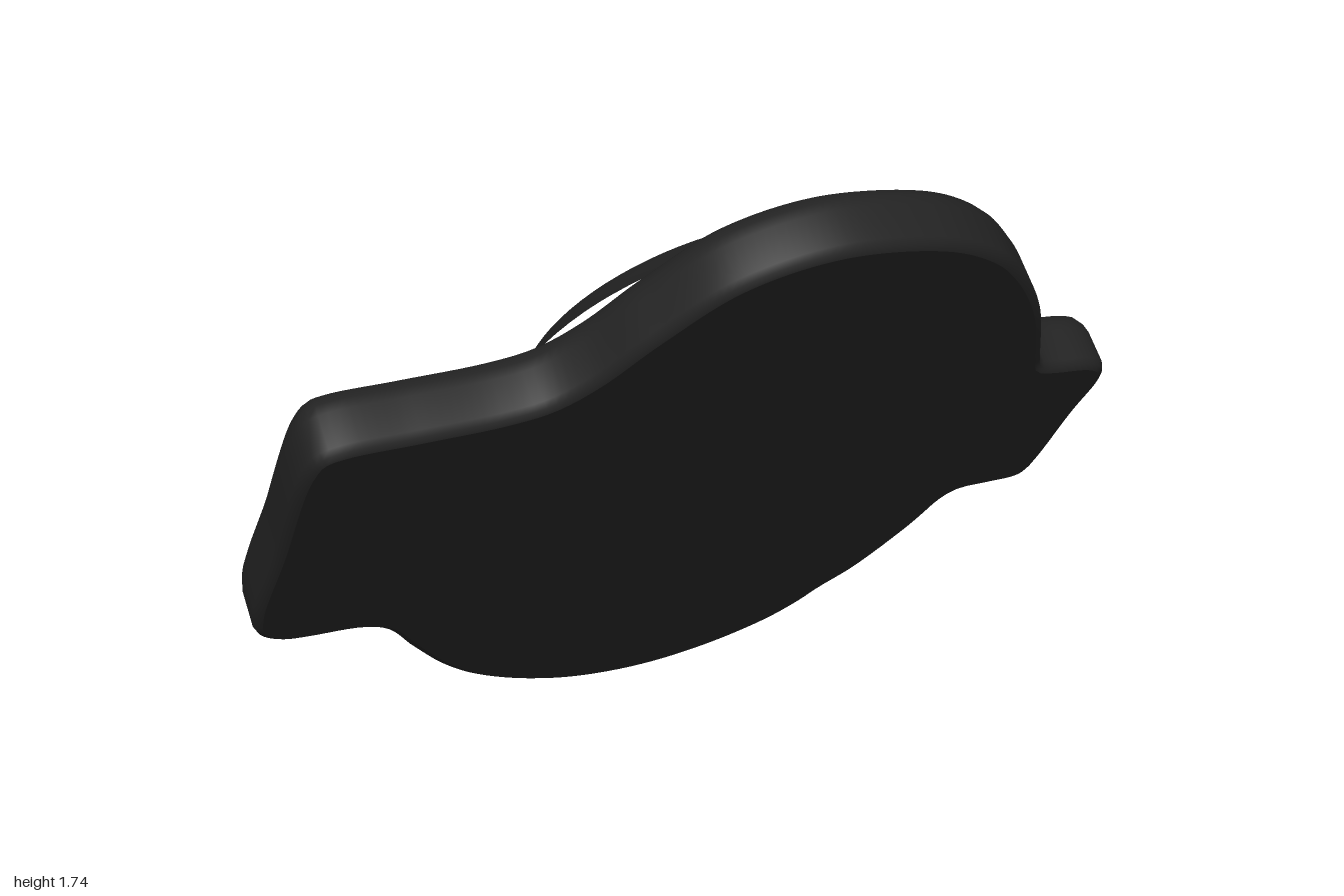
import * as THREE from 'three';

const TILT = 0.557;

// Plate outline, counterclockwise seen from the front
const OUTLINE = [
  [0.1, 0.99], [-0.1, 0.93], [-0.25, 0.777], [-0.35, 0.648], [-0.43, 0.585], [-0.52, 0.566],
  [-0.7, 0.565], [-0.86, 0.565], [-0.91, 0.545], [-0.937, 0.48], [-0.97, 0.14], [-0.999, -0.16], [-0.985, -0.25],
  [-0.93, -0.305], [-0.87, -0.32], [-0.75, -0.336], [-0.68, -0.377], [-0.6, -0.518], [-0.5, -0.683],
  [-0.4, -0.8], [-0.25, -0.913], [-0.1, -0.978], [0.08, -1.0], [0.25, -0.966], [0.4, -0.889],
  [0.48, -0.813], [0.53, -0.742], [0.6, -0.66], [0.7, -0.471], [0.75, -0.34], [0.775, -0.313],
  [0.85, -0.313], [0.93, -0.312], [0.96, -0.29], [0.972, -0.23], [0.985, 0], [1.0, 0.15], [0.985, 0.215],
  [0.94, 0.247], [0.84, 0.27], [0.8, 0.288], [0.775, 0.35], [0.7, 0.554], [0.6, 0.73],
  [0.5, 0.848], [0.35, 0.942],
];

// Moves a closed counterclockwise loop inward by d
function inset(pts, d) {
  const n = pts.length;
  return pts.map((p, i) => {
    const t = pts[(i + 1) % n].clone().sub(pts[(i + n - 1) % n]).normalize();
    return new THREE.Vector2(p.x - t.y * d, p.y + t.x * d);
  });
}

// Skins a closed loop along a profile of [inset, depth] pairs
function skin(pts, profile) {
  const n = pts.length, pos = [], idx = [];
  profile.forEach(([d, depth], r) => {
    inset(pts, d).forEach((p, j) => {
      pos.push(p.x, p.y, -depth);
      if (r === profile.length - 1) return;
      const a = r * n + j, b = r * n + (j + 1) % n;
      idx.push(a, a + n, b, b, a + n, b + n);
    });
  });
  const g = new THREE.BufferGeometry();
  g.setAttribute('position', new THREE.Float32BufferAttribute(pos, 3));
  g.setIndex(idx);
  g.computeVertexNormals();
  return g;
}

// Flat face filling a loop
function cap(pts, depth, back) {
  const g = new THREE.ShapeGeometry(new THREE.Shape(pts));
  g.translate(0, 0, -depth);
  if (back) {
    g.setIndex(Array.from(g.index.array).reverse());
    g.computeVertexNormals();
  }
  return g;
}

// Counterclockwise stadium loop
function stadium(cx, cy, r, half, steps) {
  const pts = [];
  for (const side of [1, -1]) {
    for (let i = 0; i <= steps; i++) {
      const a = (i / steps) * Math.PI + (side > 0 ? 0 : Math.PI);
      pts.push(new THREE.Vector2(cx + r * Math.cos(a), cy + side * half + r * Math.sin(a)));
    }
  }
  return pts;
}

export function createModel() {
  const model = new THREE.Group();
  const body = new THREE.Group();
  body.name = 'tiltedPlate';
  body.position.set(0, 0.84, 0.07);
  body.rotation.x = TILT;
  model.add(body);

  const black = new THREE.MeshStandardMaterial({ color: 0x232323 });
  black.name = 'matteBlack';
  const add = (name, geometry) => {
    const mesh = new THREE.Mesh(geometry, black);
    mesh.name = name;
    body.add(mesh);
  };

  // Round plate with a wide tab and a narrow tab
  const curve = new THREE.CatmullRomCurve3(
    OUTLINE.map(([x, y]) => new THREE.Vector3(x, y, 0)), true, 'centripetal');
  const outline = curve.getSpacedPoints(300).slice(0, -1).map(p => new THREE.Vector2(p.x, p.y));
  const edge = [[0.02, 0], [0.006, 0.007], [0, 0.022], [0, 0.1], [0.005, 0.125],
    [0.017, 0.146], [0.034, 0.157], [0.045, 0.16]];
  add('plateEdge', skin(outline, edge));
  add('plateFront', cap(inset(outline, 0.02), 0, false));
  add('plateBack', cap(inset(outline, 0.045), 0.16, true));

  // Raised rim around the oval recess: sloped outside, steep inside
  const crest = stadium(0.07, 0.075, 0.425, 0.225, 40);
  add('rimSlope', skin(crest, [[-0.13, 0.158], [-0.105, 0.164], [-0.08, 0.178],
    [-0.045, 0.214], [-0.012, 0.246], [0, 0.252], [0.008, 0.25]]));
  add('rimInnerWall', skin(crest, [[0.008, 0.25], [0.03, 0.158]]));
  return model;
}
